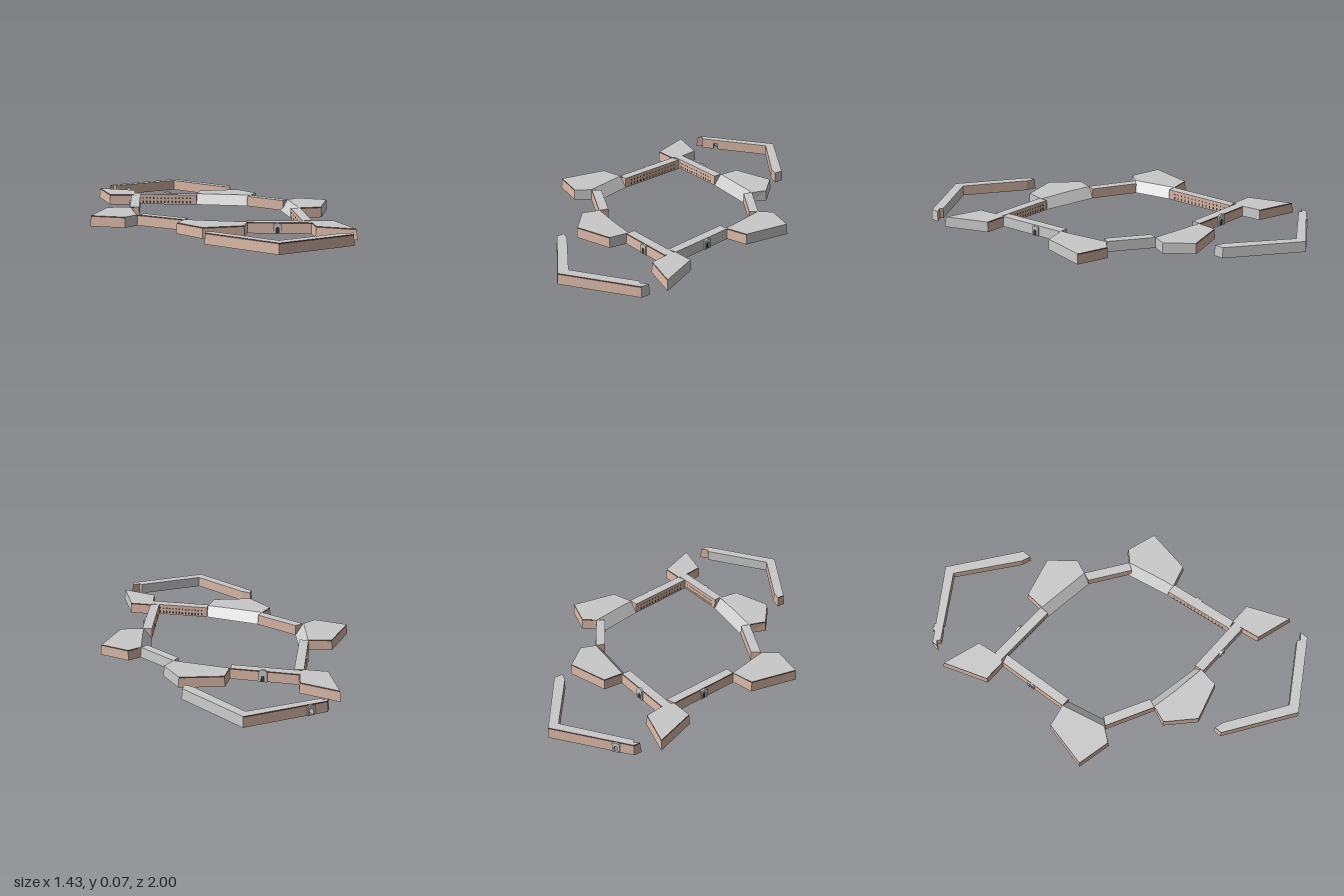
import * as THREE from 'three';

const H = 0.056;                                        // rampart height
const INSET = { o: 0.004, i: 0, s: 0, r: 0.047 };       // outer batter, plain brick, plain stone, ramp
const mat = (name, color) => {
  const m = new THREE.MeshStandardMaterial({ color, side: THREE.DoubleSide });
  m.name = name;
  return m;
};

// Move each edge of an outline inwards by its own inset and intersect neighbours
function insetOutline(pts, codes, scale) {
  const n = pts.length;
  const edges = pts.map((a, k) => {
    const b = pts[(k + 1) % n], dx = b[0] - a[0], dz = b[1] - a[1], l = Math.hypot(dx, dz);
    const d = INSET[codes[k]] * scale, nx = dz / l, nz = -dx / l;
    return { nx, nz, d, c: nx * a[0] + nz * a[1] - d };
  });
  return pts.map((p, k) => {
    const e = edges[(k + n - 1) % n], f = edges[k], det = e.nx * f.nz - e.nz * f.nx;
    if (Math.abs(det) < 0.1) return [p[0] - f.nx * f.d, p[1] - f.nz * f.d];
    return [(e.c * f.nz - f.c * e.nz) / det, (e.nx * f.c - f.nx * e.c) / det];
  });
}

// Hollow rampart, open underneath, over an outline listed clockwise from above
function rampart(name, pts, codes, mats, y0 = 0) {
  const group = new THREE.Group();
  group.name = name;
  const tris = { brick: [], stone: [], cordon: [] };
  const ring = y => insetOutline(pts, codes, y / H).map(p => [p[0], y, p[1]]);
  const lo = ring(y0), mid = ring(H * 0.88), hi = ring(H), n = pts.length;
  const quad = (list, a, b, c, d) => list.push(...a, ...b, ...c, ...a, ...c, ...d);
  for (let k = 0; k < n; k++) {
    const j = (k + 1) % n, dx = pts[j][0] - pts[k][0], dz = pts[j][1] - pts[k][1];
    const east = dz / Math.hypot(dx, dz) > 0.555;
    if (codes[k] === 'o' && !east) {
      quad(tris.brick, lo[j], lo[k], mid[k], mid[j]);
      quad(tris.cordon, mid[j], mid[k], hi[k], hi[j]);
    } else {
      quad(codes[k] === 'i' ? tris.brick : tris.stone, lo[j], lo[k], hi[k], hi[j]);
    }
  }
  // walkway on top
  const flat = hi.map(p => new THREE.Vector2(p[0], p[2]));
  for (const [a, b, c] of THREE.ShapeUtils.triangulateShape(flat, [])) {
    const ccw = (flat[b].x - flat[a].x) * (flat[c].y - flat[a].y) - (flat[b].y - flat[a].y) * (flat[c].x - flat[a].x) > 0;
    (ccw ? [a, c, b] : [a, b, c]).forEach(q => tris.stone.push(...hi[q]));
  }
  for (const key in tris) {
    if (!tris[key].length) continue;
    const g = new THREE.BufferGeometry();
    g.setAttribute('position', new THREE.Float32BufferAttribute(tris[key], 3));
    g.computeVertexNormals();
    const mesh = new THREE.Mesh(g, mats[key]);
    mesh.name = name + ' ' + key;
    group.add(mesh);
  }
  return group;
}

// Round-headed opening, standing on y = 0
function archPath(Type, w, h) {
  const s = new Type();
  s.moveTo(-w / 2, 0);
  s.lineTo(w / 2, 0);
  s.lineTo(w / 2, h - w / 2);
  s.absarc(0, h - w / 2, w / 2, 0, Math.PI, false);
  s.lineTo(-w / 2, 0);
  return s;
}

// Gate surround facing +z, round-headed or gabled, with a dark door unless open
function gate(kind, mats) {
  const g = new THREE.Group();
  g.name = 'gate';
  let front;
  if (kind === 'round') front = archPath(THREE.Shape, 0.046, 0.066);
  else {
    front = new THREE.Shape();
    [[-0.02, 0], [0.02, 0], [0.02, 0.048], [0, 0.0555], [-0.02, 0.048]]
      .forEach(([x, y], k) => (k ? front.lineTo(x, y) : front.moveTo(x, y)));
  }
  front.holes.push(archPath(THREE.Path, 0.02, 0.034));
  const surround = new THREE.Mesh(
    new THREE.ExtrudeGeometry(front, { depth: 0.011, bevelEnabled: false, curveSegments: 8 }), mats.stone);
  surround.name = 'gateSurround';
  surround.position.z = -0.005;
  g.add(surround);
  if (kind !== 'open') {
    const door = new THREE.Mesh(new THREE.ShapeGeometry(archPath(THREE.Shape, 0.02, 0.034), 8), mats.dark);
    door.name = 'gateDoor';
    door.position.z = 0.001;
    g.add(door);
  }
  return g;
}

// Put an object on the edge a-b, facing out of the outline
function onEdge(obj, a, b, t, out = 0) {
  const dx = b[0] - a[0], dz = b[1] - a[1], l = Math.hypot(dx, dz);
  obj.position.set(a[0] + dx * t + dz / l * out, obj.position.y, a[1] + dz * t - dx / l * out);
  obj.rotation.y = Math.atan2(dz, -dx);
  return obj;
}

export function createModel() {
  const model = new THREE.Group();
  model.name = 'starFort';
  const mats = {
    brick: mat('brick', 0xd8b7a6),
    stone: mat('stone', 0xc9c9c9),
    cordon: mat('cordon', 0x6a4a40),
    dark: mat('opening', 0x3a3533),
  };

  // Six bastions; four have a ramp along the gorge
  const bastions = [
    [[[-0.717, -0.62], [-0.5, -0.552], [-0.485, -0.45], [-0.495, -0.39], [-0.505, -0.375], [-0.627, -0.376]], 'ooiioo'],
    [[[-0.124, -0.545], [0.103, -0.603], [0.213, -0.47], [0.179, -0.397], [0.16, -0.347], [-0.13, -0.386], [-0.13, -0.44]], 'oooirio'],
    [[[0.442, -0.307], [0.608, -0.254], [0.567, -0.003], [0.455, 0.028], [0.397, 0.028], [0.345, -0.22], [0.39, -0.25]], 'oooirio'],
    [[[0.5, 0.402], [0.615, 0.402], [0.717, 0.634], [0.512, 0.57], [0.495, 0.474], [0.495, 0.413]], 'ooooii'],
    [[[-0.138, 0.353], [0.167, 0.413], [0.172, 0.469], [0.159, 0.564], [-0.05, 0.622], [-0.19, 0.49], [-0.156, 0.405]], 'riooooi'],
    [[[-0.595, 0.048], [-0.468, 0.026], [-0.42, 0.026], [-0.371, 0.23], [-0.407, 0.274], [-0.463, 0.348], [-0.65, 0.306]], 'oiriooo'],
  ];
  bastions.forEach(([pts, codes]) => model.add(rampart('bastion', pts, codes, mats)));

  // Curtain walls: outer edge, then inner edge; long ones have a gate and an arcade
  const curtains = [
    { pts: [[-0.485, -0.45], [-0.13, -0.44], [-0.13, -0.386], [-0.495, -0.395]], gate: 'round', at: 0.52 },
    { pts: [[0.179, -0.397], [0.39, -0.25], [0.362, -0.207], [0.16, -0.347]] },
    { pts: [[0.455, 0.028], [0.503, 0.405], [0.45, 0.416], [0.397, 0.028]], gate: 'gabled', at: 0.41 },
    { pts: [[0.495, 0.474], [0.172, 0.469], [0.167, 0.413], [0.495, 0.416]], gate: 'gabled', at: 0.53 },
    { pts: [[-0.156, 0.405], [-0.407, 0.274], [-0.371, 0.23], [-0.138, 0.353]] },
    { pts: [[-0.474, 0.026], [-0.505, -0.375], [-0.452, -0.39], [-0.42, 0.026]], gate: 'gabled', at: 0.52 },
  ];
  const archGeo = new THREE.ShapeGeometry(archPath(THREE.Shape, 0.009, 0.015), 5);
  const windowGeo = new THREE.PlaneGeometry(0.008, 0.009);
  for (const { pts, gate: kind, at } of curtains) {
    model.add(rampart('curtainWall', pts, 'oiii', mats));
    if (!kind) continue;
    model.add(onEdge(gate(kind, mats), pts[0], pts[1], at));
    for (let k = 0; k < 15; k++) {
      const t = 0.1 + 0.8 * k / 14;
      for (const [geo, y, name] of [[archGeo, 0.007, 'arcadeArch'], [windowGeo, 0.036, 'arcadeWindow']]) {
        const m = new THREE.Mesh(geo, mats.dark);
        m.name = name;
        m.position.y = y;
        model.add(onEdge(m, pts[2], pts[3], t, 0.0015));
      }
    }
  }

  // Rear ravelin: one plain leg, one leg with an open passage under a lintel
  model.add(rampart('rearRavelin',
    [[-0.298, -1], [0.057, -0.737], [0.057, -0.683], [0.003, -0.703], [-0.298, -0.935]], 'ooiii', mats));
  const along = (a, b, t) => [a[0] + (b[0] - a[0]) * t, a[1] + (b[1] - a[1]) * t];
  const tip = [-0.668, -0.745], apex = [-0.298, -1];
  const outer = t => along(tip, apex, t);
  const inner = t => along([-0.627, -0.718], [-0.298, -0.935], t);
  const strip = (s, t) => [outer(s), outer(t), inner(t), inner(s)];
  model.add(rampart('rearRavelin', strip(0.235, 1), 'oiii', mats));
  model.add(rampart('passageLintel', strip(0.175, 0.235), 'oiii', mats, 0.034));
  model.add(rampart('rearRavelin',
    [tip, outer(0.175), inner(0.175), inner(0), [-0.645, -0.731], [-0.668, -0.702]], 'oiiiio', mats));
  model.add(onEdge(gate('open', mats), tip, apex, 0.205));

  // Front ravelin with hooked ends
  model.add(rampart('frontRavelin',
    [[-0.034, 0.713], [0.02, 0.73], [0.325, 0.932], [0.637, 0.737], [0.653, 0.748], [0.692, 0.72],
      [0.692, 0.771], [0.325, 1], [-0.034, 0.759]], 'iisiioooo', mats));
  return model;
}
